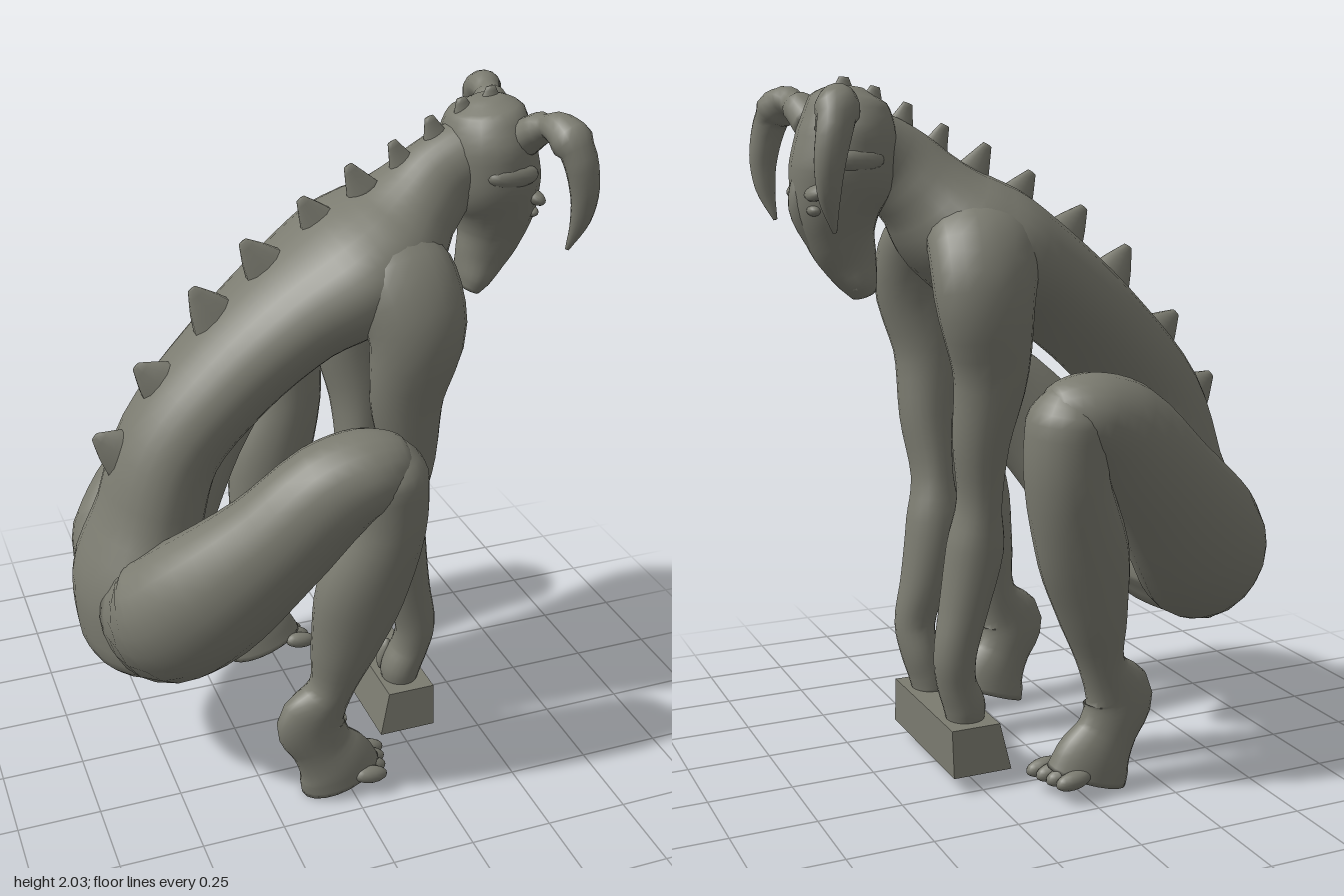
import * as THREE from 'three';

const stone = new THREE.MeshStandardMaterial({ color: 0x7b7b70 });
stone.name = 'grey stone';
const X = new THREE.Vector3(1, 0, 0), Z = new THREE.Vector3(0, 0, 1);

// Smooth closed skin through stations [x, y, z, radius along ref, radius across it]
function loft(stations, ref = Z, sides = 20, steps = 4) {
  const path = new THREE.CatmullRomCurve3(stations.map(s => new THREE.Vector3(s[0], s[1], s[2])));
  const radii = new THREE.CatmullRomCurve3(stations.map(s => new THREE.Vector3(s[3], s[4], 0)));
  const rings = (stations.length - 1) * steps;
  const pos = [], index = [];
  for (let i = 0; i <= rings; i++) {
    const t = i / rings;
    const p = path.getPoint(t), r = radii.getPoint(t), T = path.getTangent(t);
    const S = ref.clone().addScaledVector(T, -ref.dot(T)).normalize();
    const U = T.clone().cross(S);
    for (let j = 0; j < sides; j++) {
      const a = j / sides * Math.PI * 2;
      const v = p.clone().addScaledVector(S, r.x * Math.cos(a)).addScaledVector(U, r.y * Math.sin(a));
      pos.push(v.x, v.y, v.z);
    }
  }
  for (let i = 0; i < rings; i++) for (let j = 0; j < sides; j++) {
    const k = (j + 1) % sides, a = i * sides + j, b = i * sides + k;
    index.push(a, b, b + sides, a, b + sides, a + sides);
  }
  const first = pos.length / 3, end = rings * sides;
  const p0 = path.getPoint(0), p1 = path.getPoint(1);
  pos.push(p0.x, p0.y, p0.z, p1.x, p1.y, p1.z);
  for (let j = 0; j < sides; j++) {
    const k = (j + 1) % sides;
    index.push(first, k, j, first + 1, end + j, end + k);
  }
  const g = new THREE.BufferGeometry();
  g.setAttribute('position', new THREE.Float32BufferAttribute(pos, 3));
  g.setIndex(index);
  g.computeVertexNormals();
  return g;
}

function blob(x, y, z, rx, ry, rz, tilt = 0) {
  return new THREE.SphereGeometry(1, 14, 10).scale(rx, ry, rz).rotateZ(tilt).translate(x, y, z);
}

export function createModel() {
  const model = new THREE.Group();
  model.name = 'crouchingHornedStatue';
  const add = (name, geometry) => {
    const mesh = new THREE.Mesh(geometry, stone);
    mesh.name = name;
    model.add(mesh);
  };
  const sided = (stations, s) => stations.map(([x, y, z, a, b]) => [x, y, z * s, a, b]);

  // Rump, bent back and neck
  add('torso', loft([
    [-0.5, 0.375, 0, 0.2, 0.12], [-0.52, 0.47, 0, 0.28, 0.2], [-0.53, 0.62, 0, 0.27, 0.2],
    [-0.49, 0.84, 0, 0.2, 0.155], [-0.42, 1.05, 0, 0.19, 0.15], [-0.25, 1.25, 0, 0.21, 0.15],
    [-0.05, 1.42, 0, 0.25, 0.16], [0.12, 1.52, 0, 0.29, 0.185], [0.24, 1.6, 0, 0.25, 0.17],
    [0.33, 1.69, 0, 0.16, 0.135], [0.42, 1.77, 0, 0.11, 0.12], [0.54, 1.83, 0, 0.11, 0.11],
  ], Z, 28));

  // Long goat-like head, from crown to muzzle
  add('head', loft([
    [0.53, 1.975, 0, 0.04, 0.04], [0.535, 1.94, 0, 0.12, 0.105], [0.54, 1.85, 0, 0.165, 0.135],
    [0.555, 1.75, 0, 0.163, 0.145], [0.573, 1.65, 0, 0.125, 0.125], [0.565, 1.57, 0, 0.09, 0.1],
    [0.54, 1.5, 0, 0.07, 0.08], [0.515, 1.44, 0, 0.07, 0.055], [0.5, 1.405, 0, 0.055, 0.035],
  ]));
  add('noseRidge', loft([
    [0.66, 1.76, 0, 0.03, 0.03], [0.675, 1.65, 0, 0.035, 0.035], [0.63, 1.55, 0, 0.035, 0.03],
    [0.59, 1.485, 0, 0.045, 0.025], [0.565, 1.47, 0, 0.03, 0.015],
  ]));
  add('lowerLip', blob(0.535, 1.425, 0, 0.03, 0.018, 0.06, 0.4));

  // Fins along the spine: [base x, base y, tip x, tip y, width]
  [
    [-0.54, 1.02, -0.64, 1.1, 0.06], [-0.41, 1.21, -0.51, 1.3, 0.06], [-0.26, 1.39, -0.34, 1.51, 0.055],
    [-0.11, 1.53, -0.19, 1.63, 0.05], [0.04, 1.65, -0.02, 1.735, 0.04], [0.17, 1.73, 0.12, 1.815, 0.035],
    [0.29, 1.79, 0.25, 1.87, 0.03], [0.39, 1.85, 0.36, 1.93, 0.03], [0.475, 1.9, 0.455, 1.975, 0.03],
    [0.55, 1.93, 0.545, 2.0, 0.03],
  ].forEach(([bx, by, tx, ty, w]) => {
    add('spineFin', loft([
      [bx, by, 0, w, w * 1.6], [bx + (tx - bx) * 0.55, by + (ty - by) * 0.55, 0, w * 0.55, w * 0.95],
      [tx, ty, 0, 0.008, 0.014],
    ], Z, 10, 3));
  });

  for (const s of [1, -1]) {
    const side = s > 0 ? 'left' : 'right';

    // Curled horn
    add(side + 'Horn', loft(sided([
      [0.6, 1.87, 0.1, 0.06, 0.055], [0.625, 1.92, 0.17, 0.05, 0.045], [0.64, 1.935, 0.24, 0.05, 0.045],
      [0.665, 1.89, 0.3, 0.05, 0.045], [0.69, 1.78, 0.315, 0.042, 0.036],
      [0.69, 1.69, 0.305, 0.03, 0.024], [0.67, 1.6, 0.28, 0.006, 0.006],
    ], s), X, 14));

    // Brow, eye and cheek
    add(side + 'Brow', blob(0.655, 1.695, s * 0.085, 0.035, 0.022, 0.055, -0.5));
    add(side + 'Eye', blob(0.66, 1.645, s * 0.07, 0.02, 0.016, 0.03));
    add(side + 'Cheek', blob(0.56, 1.78, s * 0.14, 0.08, 0.035, 0.032));

    // Shoulder, arm and wrist
    add(side + 'Arm', loft(sided([
      [0.18, 1.59, 0.06, 0.14, 0.1], [0.21, 1.54, 0.18, 0.16, 0.12], [0.235, 1.41, 0.25, 0.145, 0.112],
      [0.215, 1.2, 0.24, 0.11, 0.09], [0.235, 1, 0.215, 0.082, 0.082], [0.23, 0.82, 0.185, 0.063, 0.08],
      [0.235, 0.68, 0.165, 0.083, 0.088], [0.27, 0.5, 0.16, 0.072, 0.075],
      [0.3, 0.36, 0.165, 0.063, 0.06], [0.29, 0.27, 0.15, 0.058, 0.064],
      [0.265, 0.2, 0.145, 0.062, 0.065], [0.26, 0.15, 0.14, 0.055, 0.06],
    ], s), X));
    add(side + 'Thumb', blob(0.225, 0.22, s * 0.1, 0.022, 0.055, 0.022, -0.2));

    // Thigh, folded up from the rump to the knee
    add(side + 'Thigh', loft(sided([
      [-0.56, 0.56, 0.1, 0.15, 0.17], [-0.5, 0.59, 0.2, 0.19, 0.215], [-0.41, 0.69, 0.29, 0.18, 0.21],
      [-0.24, 0.88, 0.385, 0.15, 0.17], [-0.08, 1.05, 0.43, 0.138, 0.145],
      [0.03, 1.1, 0.44, 0.13, 0.118], [0.12, 1.11, 0.44, 0.08, 0.075], [0.14, 1.11, 0.44, 0.03, 0.03],
    ], s)));

    // Shin, heel and foot
    add(side + 'Shin', loft(sided([
      [0.06, 1.17, 0.44, 0.06, 0.06], [0.075, 1.08, 0.44, 0.125, 0.115], [0.075, 0.92, 0.435, 0.122, 0.118],
      [0.015, 0.7, 0.42, 0.105, 0.135], [-0.03, 0.5, 0.4, 0.088, 0.1], [-0.065, 0.35, 0.385, 0.066, 0.068],
      [-0.12, 0.24, 0.38, 0.06, 0.11], [-0.09, 0.15, 0.378, 0.062, 0.095],
      [-0.045, 0.07, 0.375, 0.075, 0.12], [-0.025, 0.015, 0.37, 0.08, 0.13],
    ], s)));
    for (let i = 0; i < 4; i++) {
      add(side + 'Toe', blob(0.085 - i * 0.012, 0.037, s * (0.31 + i * 0.042), 0.055, 0.027, 0.026, -0.15));
    }
  }

  // Tapered block gripped by both hands
  const block = new THREE.BoxGeometry(0.18, 0.14, 0.5);
  const p = block.attributes.position;
  for (let i = 0; i < p.count; i++) {
    if (p.getY(i) > 0) {
      p.setZ(i, p.getZ(i) * 0.95);
      if (p.getX(i) < 0) p.setX(i, -0.06);
    }
  }
  block.computeVertexNormals();
  add('block', block.translate(0.25, 0.09, 0));

  return model;
}
